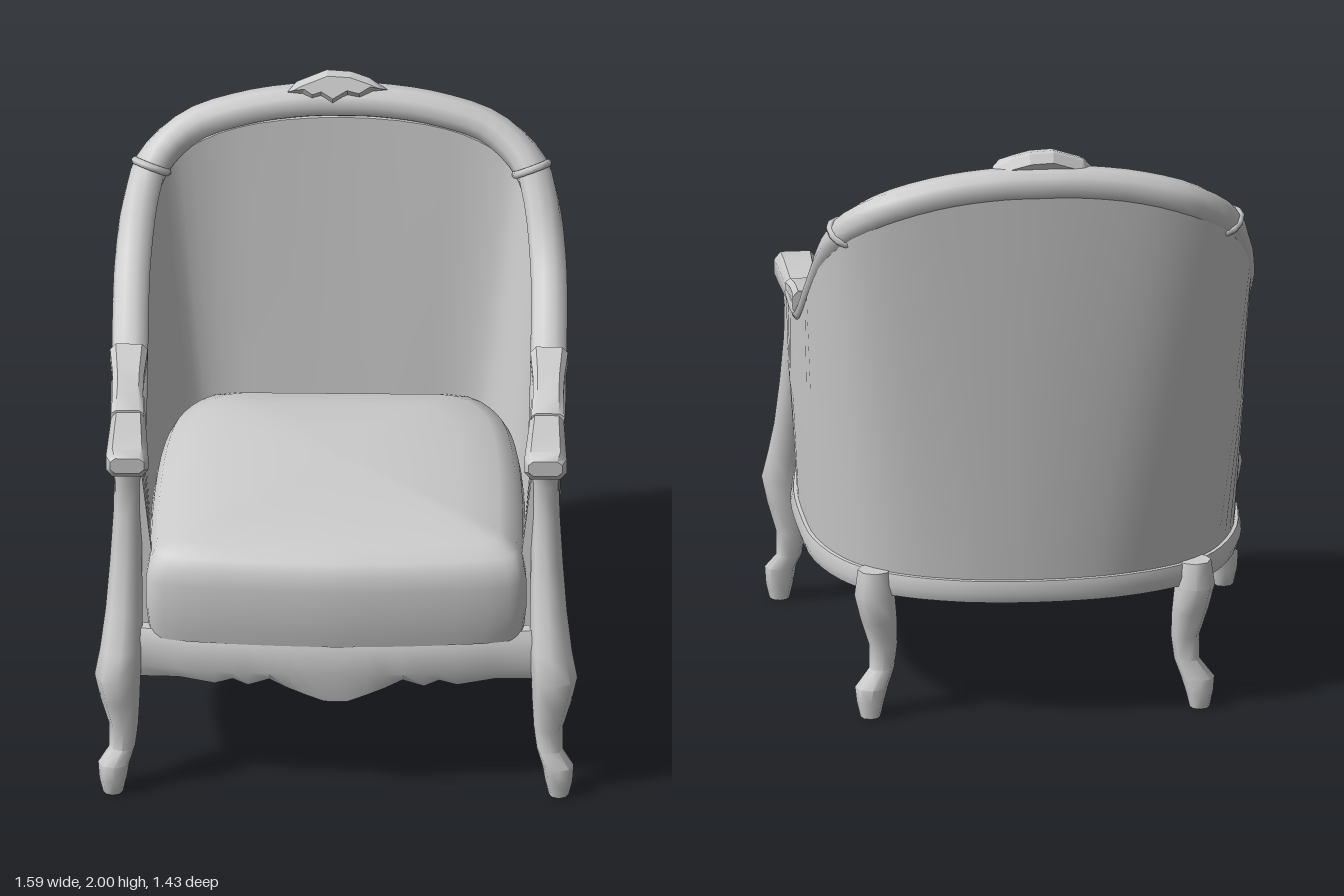
import * as THREE from 'three';
import { toCreasedNormals } from 'three/addons/utils/BufferGeometryUtils.js';

const V = (x, y, z) => new THREE.Vector3(x, y, z);
const upholstery = new THREE.MeshStandardMaterial({ color: 0xcccccc, side: THREE.DoubleSide });
upholstery.name = 'plain grey';

// Skin over a list of rings; winding is turned outward by signed volume
function loft(rings, { crease = 0.7, wrap = true, capStart = true, capEnd = true } = {}) {
  const n = rings[0].length, tris = [];
  for (let i = 0; i < rings.length - 1; i++) {
    for (let j = 0; j < (wrap ? n : n - 1); j++) {
      const k = (j + 1) % n;
      const a = rings[i][j], b = rings[i][k], c = rings[i + 1][k], d = rings[i + 1][j];
      tris.push([a, b, c], [a, c, d]);
    }
  }
  const cap = (r, first) => {
    const mid = V(0, 0, 0);
    r.forEach(p => mid.addScaledVector(p, 1 / n));
    for (let j = 0; j < n; j++) {
      const k = (j + 1) % n;
      tris.push(first ? [mid, r[k], r[j]] : [mid, r[j], r[k]]);
    }
  };
  if (capStart) cap(rings[0], true);
  if (capEnd) cap(rings[rings.length - 1], false);
  const volume = tris.reduce((s, [a, b, c]) => s + a.dot(V(0, 0, 0).crossVectors(b, c)), 0);
  const pos = [];
  tris.forEach(([a, b, c]) => (volume < 0 ? [a, c, b] : [a, b, c]).forEach(p => pos.push(p.x, p.y, p.z)));
  const g = new THREE.BufferGeometry();
  g.setAttribute('position', new THREE.Float32BufferAttribute(pos, 3));
  return toCreasedNormals(g, crease);
}

// Horizontal ring for a leg: [x, y, z, half width]
function legRings(stations, s) {
  return stations.map(([x, y, z, r]) => Array.from({ length: 8 }, (_, i) => {
    const a = i * Math.PI / 4;
    return V(s * (x + Math.cos(a) * r), y, z + Math.sin(a) * r);
  }));
}

// Chamfered cross-sections along z: [z, bottom, top, half width]
function armRings(stations, s, cx) {
  return stations.map(([z, y0, y1, w]) => {
    const c = (y1 - y0) * 0.25;
    return [[-w, y0 + c], [-w, y1 - c], [-w * 0.7, y1], [w * 0.7, y1], [w, y1 - c], [w, y0 + c], [w * 0.7, y0], [-w * 0.7, y0]]
      .map(([x, y]) => V(s * (cx + x), y, z));
  });
}

// Mirror a half path that ends on the centre line
const curveOf = half => new THREE.CatmullRomCurve3(
  [...half.map(p => V(...p)), ...half.slice(0, -1).reverse().map(([x, y, z]) => V(-x, y, z))], false, 'centripetal');

// Horizontal outward direction of a path that runs from left round the back to the right
function outward(curve, t) {
  const d = curve.getTangent(t).setY(0).normalize();
  return V(-d.z, 0, d.x);
}

export function createModel() {
  const chair = new THREE.Group();
  chair.name = 'armchair';
  const add = (name, geometry) => {
    const m = new THREE.Mesh(geometry, upholstery);
    m.name = name;
    chair.add(m);
    return m;
  };

  // Matching paths for the outer foot, inner foot and top of the wraparound back
  const base = curveOf([[0.68, 0.5, 0.54], [0.71, 0.5, 0.3], [0.71, 0.5, 0.05], [0.69, 0.5, -0.18], [0.62, 0.5, -0.38],
    [0.53, 0.5, -0.5], [0.42, 0.5, -0.57], [0.32, 0.5, -0.61], [0.2, 0.5, -0.64], [0, 0.5, -0.655]]);
  const liner = curveOf([[0.58, 0.57, 0.54], [0.595, 0.57, 0.3], [0.595, 0.57, 0.05], [0.59, 0.57, -0.12], [0.57, 0.57, -0.25],
    [0.53, 0.57, -0.37], [0.45, 0.57, -0.475], [0.37, 0.57, -0.5], [0.2, 0.57, -0.5], [0, 0.57, -0.5]]);
  const top = curveOf([[0.69, 1.16, 0.5], [0.69, 1.17, 0.25], [0.69, 1.21, 0], [0.69, 1.33, -0.2], [0.685, 1.445, -0.36],
    [0.65, 1.63, -0.5], [0.59, 1.735, -0.58], [0.46, 1.81, -0.625], [0.28, 1.86, -0.645], [0, 1.88, -0.655]]);

  // Upholstered shell, open underneath, and the wooden rail below it
  const shell = [], rail = [], N = 54;
  for (let i = 0; i <= N; i++) {
    const u = i / N, b = base.getPoint(u), t = top.getPoint(u), inBase = liner.getPoint(u);
    const nb = outward(base, u), nt = outward(top, u);
    const outTop = t.clone().addScaledVector(nt, 0.047), inTop = t.clone().addScaledVector(nt, -0.045);
    inTop.y -= 0.035;
    const outMid = b.clone().lerp(outTop, 0.55).addScaledVector(nb, 0.008);
    shell.push([b, outMid, outTop, inTop, inBase.clone().lerp(inTop, 0.45), inBase]);
    rail.push([[0.012, 0.5], [0.022, 0.46], [0.01, 0.425], [-0.025, 0.425], [-0.04, 0.46], [-0.035, 0.505]]
      .map(([o, y]) => b.clone().addScaledVector(nb, o).setY(y)));
  }
  add('backAndSides', loft(shell, { crease: 0.9, wrap: false }));
  add('baseRail', loft(rail));

  // Frame along the top edge: flat over the arms, round over the back
  const path = curveOf([[0.69, 1.19, 0.32], [0.69, 1.195, 0.12], [0.69, 1.235, -0.02], [0.69, 1.34, -0.2], [0.685, 1.45, -0.34],
    [0.66, 1.61, -0.475], [0.62, 1.705, -0.55], [0.5, 1.8, -0.62], [0.31, 1.86, -0.645], [0.12, 1.885, -0.655], [0, 1.887, -0.657]]);
  add('topFrame', loft(Array.from({ length: 65 }, (_, i) => {
    const p = path.getPoint(i / 64), side = outward(path, i / 64);
    const up = V(0, 0, 0).crossVectors(path.getTangent(i / 64), side);
    const thick = 0.038 + 0.02 * THREE.MathUtils.smoothstep(p.y, 1.5, 1.75);
    return Array.from({ length: 10 }, (_, j) => {
      const a = j * Math.PI / 5;
      return p.clone().addScaledVector(side, 0.06 * Math.cos(a)).addScaledVector(up, thick * Math.sin(a));
    });
  }), { crease: 1 }));

  // Seat cushion: hollow, with a rounded outline shrinking toward a domed crown
  const outline = curveOf([[0, 0, 0.7], [0.3, 0, 0.685], [0.57, 0, 0.65], [0.62, 0, 0.615], [0.622, 0, 0.5], [0.615, 0, 0.1],
    [0.585, 0, -0.25], [0.54, 0, -0.41], [0.44, 0, -0.53], [0.2, 0, -0.545], [0, 0, -0.545]]).getPoints(60).slice(0, -1);
  add('seatCushion', loft([[0.56, 0.98], [0.6, 0.99], [0.66, 1], [0.77, 1], [0.82, 0.985], [0.86, 0.95], [0.89, 0.86],
    [0.915, 0.65], [0.933, 0.35], [0.94, 0.05]]
    .map(([y, k]) => outline.map(p => V(p.x * k, y, 0.05 + (p.z - 0.05) * k))), { crease: 1.2, capStart: false }));

  // Bowed front apron with a scalloped lower edge: [x, lower y]
  const scallop = [[0.66, 0.41], [0.52, 0.42], [0.4, 0.405], [0.34, 0.425], [0.29, 0.405], [0.22, 0.43], [0.16, 0.4], [0.1, 0.375], [0.04, 0.352], [0, 0.35]];
  const edge = [...scallop, ...scallop.slice(0, -1).reverse().map(([x, y]) => [-x, y])];
  add('frontApron', loft(edge.map(([x, y]) => {
    const z = 0.695 - 0.14 * x * x;
    return [V(x, y, z - 0.02), V(x, 0.46, z), V(x, 0.55, z - 0.01), V(x, 0.585, z - 0.03), V(x, 0.585, z - 0.07), V(x, y + 0.01, z - 0.05)];
  })));

  // Carved crest on the middle of the back
  const crest = new THREE.Shape([[-0.18, 1.925], [-0.15, 1.96], [-0.1, 1.98], [-0.05, 2], [0.03, 1.995], [0.09, 1.975],
    [0.15, 1.935], [0.1, 1.93], [0.06, 1.905], [0.02, 1.915], [-0.03, 1.885], [-0.07, 1.91], [-0.1, 1.9], [-0.13, 1.92]]
    .map(([x, y]) => new THREE.Vector2(x, y - 1.94)));
  const crestMesh = add('crest', new THREE.ExtrudeGeometry(crest, {
    depth: 0.012, bevelEnabled: true, bevelThickness: 0.03, bevelSize: 0.018, bevelOffset: -0.018, bevelSegments: 1 }));
  crestMesh.position.set(0, 1.94, -0.64);
  crestMesh.rotation.x = -0.4;

  [[1, 'left'], [-1, 'right']].forEach(([s, side]) => {
    // Front leg running up into the arm post
    add(side + 'FrontLeg', loft(legRings([[0.735, 0, 0.655, 0.033], [0.735, 0.05, 0.655, 0.045], [0.732, 0.11, 0.655, 0.052],
      [0.705, 0.16, 0.635, 0.043], [0.7, 0.24, 0.632, 0.048], [0.712, 0.34, 0.637, 0.065], [0.72, 0.43, 0.64, 0.076], [0.708, 0.52, 0.618, 0.07],
      [0.7, 0.64, 0.572, 0.061], [0.694, 0.8, 0.53, 0.053], [0.69, 0.97, 0.497, 0.046], [0.69, 1.08, 0.495, 0.044], [0.69, 1.15, 0.505, 0.05]], s), { crease: 0.9 }));

    // Curved back leg
    add(side + 'BackLeg', loft(legRings([[0.545, 0, -0.54, 0.033], [0.545, 0.05, -0.535, 0.045], [0.54, 0.1, -0.525, 0.055],
      [0.505, 0.16, -0.51, 0.042], [0.5, 0.24, -0.505, 0.047], [0.515, 0.33, -0.515, 0.06], [0.53, 0.42, -0.525, 0.067], [0.53, 0.505, -0.515, 0.055]], s), { crease: 0.9 }));

    // Hand rest at the front of the arm
    add(side + 'HandRest', loft(armRings([[0.61, 1.165, 1.22, 0.056], [0.575, 1.135, 1.238, 0.07], [0.48, 1.135, 1.24, 0.065],
      [0.3, 1.15, 1.23, 0.056], [0.1, 1.165, 1.22, 0.052]], s, 0.69)));

    // Raised leaf-shaped elbow pad
    add(side + 'ElbowPad', loft(armRings([[0.31, 1.19, 1.238, 0.055], [0.2, 1.2, 1.262, 0.05], [0.1, 1.21, 1.28, 0.052],
      [-0.02, 1.225, 1.31, 0.062]], s, 0.693)));

    // Collar where the side frame meets the arch
    const collar = add(side + 'Collar', new THREE.TorusGeometry(0.056, 0.014, 6, 12));
    collar.position.set(s * 0.627, 1.695, -0.54);
    collar.quaternion.setFromUnitVectors(V(0, 0, 1), V(-s * 0.35, 0.85, -0.4).normalize());
  });

  return chair;
}
